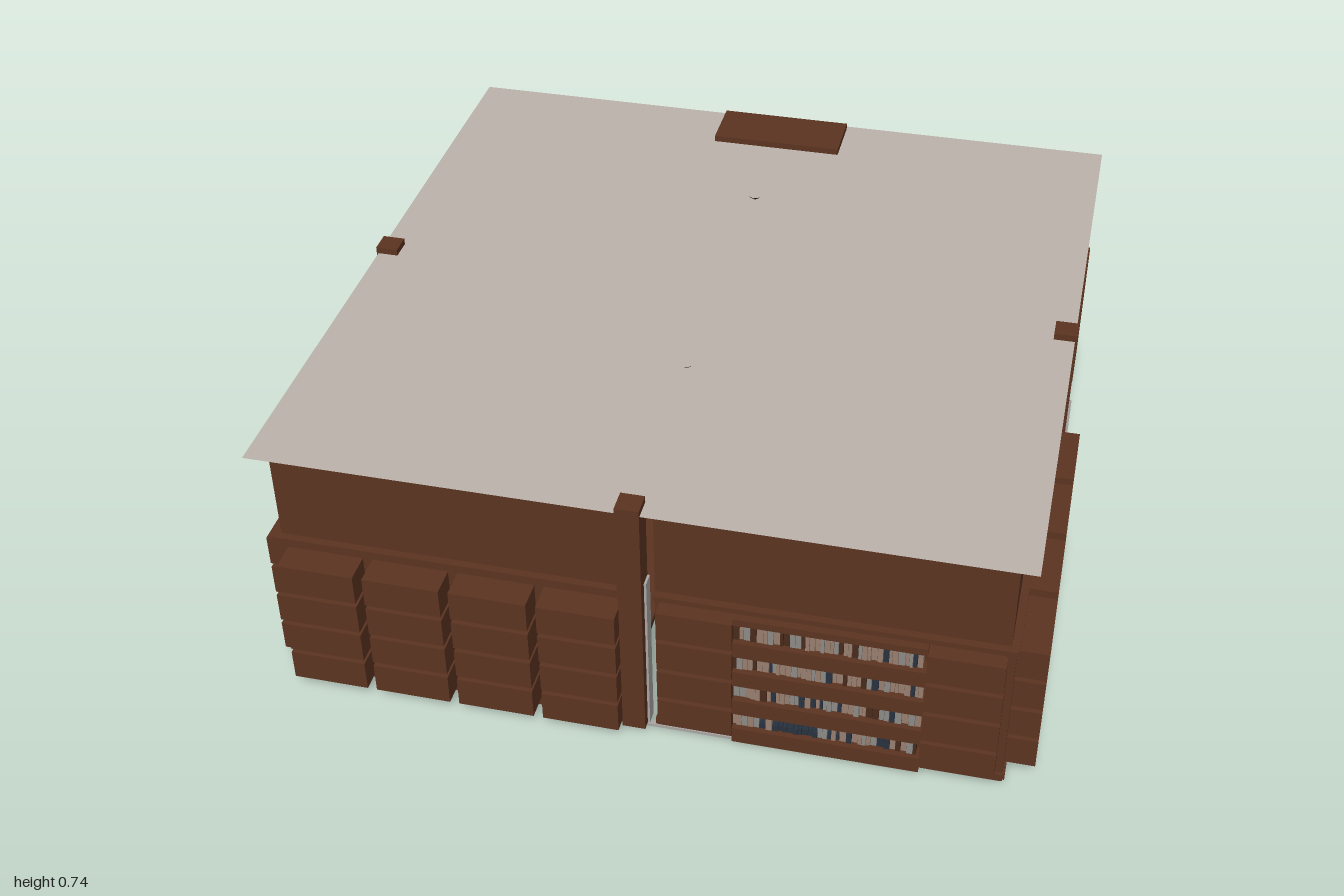
import * as THREE from 'three';

const mat = (name, color) => Object.assign(new THREE.MeshStandardMaterial({ color }), { name });

export function createModel() {
  const wood = mat('wood', 0x5c3421);
  const plaster = mat('roofPlaster', 0xbdb4ad);
  plaster.side = THREE.DoubleSide;
  const stone = mat('paleStone', 0xaaa7a4);
  stone.side = THREE.DoubleSide;
  const tan = mat('tanBook', 0x9a8070);
  const grey = mat('greyBook', 0x8d8b88);
  const navy = mat('navyBook', 0x27323f);
  const umber = mat('brownBook', 0x4a2a1c);
  const bookMats = [tan, tan, tan, grey, tan, grey, umber, navy];

  let seed = 7;
  const rand = () => (seed = (seed * 16807) % 2147483647) / 2147483647;

  const model = new THREE.Group();
  model.name = 'libraryHall';

  // Box given by its minimum and maximum corners
  const block = (parent, name, material, x0, x1, y0, y1, z0, z1) => {
    const m = new THREE.Mesh(new THREE.BoxGeometry(x1 - x0, y1 - y0, z1 - z0), material);
    m.position.set((x0 + x1) / 2, (y0 + y1) / 2, (z0 + z1) / 2);
    m.name = name;
    parent.add(m);
    return m;
  };

  const rowY = (r) => 0.043 + r * 0.0975;
  const rowH = 0.085;

  // One facade: cabinets on one half, bookcase on the other
  function facade() {
    const g = new THREE.Group();
    g.name = 'facade';
    block(g, 'wallLeft', wood, -0.91, -0.03, 0.02, 0.715, 0.87, 0.91);
    block(g, 'wallRight', wood, 0.05, 0.91, 0.02, 0.715, 0.87, 0.91);
    block(g, 'cabinetBack', wood, -0.92, -0.03, 0.02, 0.435, 0.9, 0.924);
    block(g, 'cabinetLedge', wood, -0.925, -0.03, 0.435, 0.45, 0.9, 0.93);
    block(g, 'bookcaseLedge', wood, 0.05, 0.925, 0.435, 0.45, 0.9, 0.93);
    block(g, 'bookcaseBase', wood, 0.05, 0.925, 0.015, 0.035, 0.9, 0.93);
    block(g, 'cabinetBase', wood, -0.925, -0.03, 0.015, 0.035, 0.9, 0.93);

    for (let r = 0; r < 4; r++) {
      const y = rowY(r);
      // Projecting cabinet drawers
      for (let c = 0; c < 4; c++) {
        const x = -0.89 + c * 0.2215;
        block(g, 'drawer', wood, x, x + 0.197, y, y + rowH, 0.915, 1);
      }
      // Solid panels on both sides of the books
      block(g, 'sidePanel', wood, 0.062, 0.25, y, y + rowH, 0.9, 0.957);
      block(g, 'sidePanel', wood, 0.72, 0.905, y, y + rowH, 0.9, 0.957);
      // Shelf board and its row of books
      block(g, 'shelf', wood, 0.25, 0.72, y - 0.025, y + 0.022, 0.9, 0.95);
      let x = 0.25;
      while (x < 0.708) {
        const w = 0.007 + rand() * 0.009;
        const h = 0.038 + rand() * 0.018;
        const lowRow = r === 0 && x > 0.31 && x < 0.56 && rand() < 0.6;
        const m = lowRow ? navy : bookMats[Math.floor(rand() * bookMats.length)];
        block(g, 'book', m, x, Math.min(x + w, 0.72), y + 0.022, y + 0.022 + (lowRow ? 0.018 : h),
          0.9, 0.93 + rand() * 0.008);
        x += w + 0.001;
      }
    }
    block(g, 'topRail', wood, 0.25, 0.72, 0.415, 0.435, 0.9, 0.95);
    // Pale threshold at the passage
    block(g, 'threshold', stone, -0.02, 0.38, 0.0, 0.008, 0.915, 0.928);
    return g;
  }

  for (let k = 0; k < 4; k++) {
    const side = facade();
    side.rotation.y = (k * Math.PI) / 2;
    // Floor slab of one quarter
    block(side, 'floorSlab', wood, 0.05, 0.92, 0.003, 0.025, 0.05, 0.92);
    // Post in the passage of the three open sides
    if (k !== 2) block(side, 'post', wood, -0.03, 0.03, 0.02, 0.735, 0.9, 0.96);
    model.add(side);
  }

  // Roof sheet
  const roof = new THREE.Mesh(new THREE.PlaneGeometry(1.91, 1.91), plaster);
  roof.rotation.x = -Math.PI / 2;
  roof.position.y = 0.717;
  roof.name = 'roof';
  model.add(roof);

  // Chimney breast on the back wall
  block(model, 'chimney', wood, -0.187, 0.187, 0.4, 0.735, -0.94, -0.78);

  // Tapering stone buttress sheets on the side posts
  const taper = new THREE.Shape();
  taper.moveTo(-0.03, 0.02);
  taper.lineTo(0.03, 0.02);
  taper.lineTo(0.03, 0.485);
  taper.lineTo(0.008, 0.49);
  taper.lineTo(-0.018, 0.25);
  const taperGeo = new THREE.ExtrudeGeometry(taper, { depth: 0.006, bevelEnabled: false });
  for (const s of [1, -1]) {
    const sheet = new THREE.Mesh(taperGeo, stone);
    sheet.rotation.y = (s * Math.PI) / 2;
    sheet.position.x = s * 0.96;
    sheet.name = 'buttress';
    model.add(sheet);
  }
  block(model, 'frontButtress', stone, 0.03, 0.036, 0.02, 0.49, 0.9, 0.935);

  // Books glimpsed through the front passage
  for (let i = 0; i < 14; i++) {
    const y = 0.03 + i * 0.049;
    block(model, 'innerBooks', [navy, umber, grey, navy, tan][i % 5], 0.02, 0.06, y, y + 0.045, 0.3, 0.34);
  }

  // Central lectern
  const lectern = new THREE.Mesh(new THREE.CylinderGeometry(0.055, 0.055, 0.1, 8), wood);
  lectern.position.y = 0.07;
  lectern.name = 'lectern';
  model.add(lectern);

  // Lamp mounts reaching through the roof
  for (const z of [0.36, -0.48]) {
    const mount = new THREE.Mesh(new THREE.CylinderGeometry(0.024, 0.004, 0.016, 8, 1, true), wood);
    mount.position.set(0, 0.726, z);
    mount.name = 'lampMount';
    model.add(mount);
  }
  return model;
}
